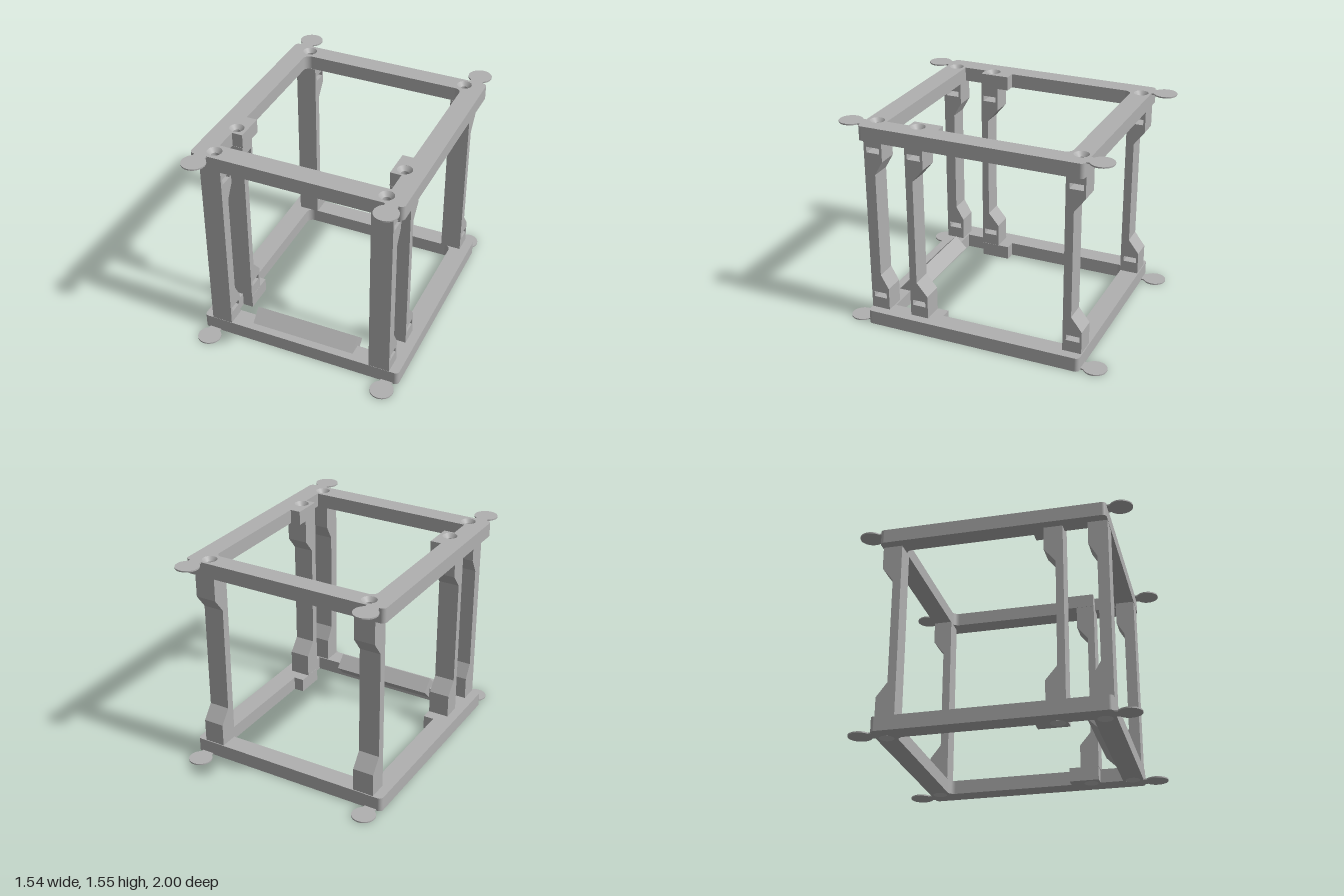
import * as THREE from 'three';

const H = 1.555, RAIL = 0.105, SINK = 0.03, HOLE_R = 0.027, SINK_R = 0.053;
const POST_X = 0.6225, POST_W = 0.155;
const SCREWS = [-0.75, 0.432, 0.745].flatMap(z => [[-0.62, z], [0.62, z]]);

export function createModel() {
  const group = new THREE.Group();
  const grey = new THREE.MeshStandardMaterial({ color: 0xb0b0b0, side: THREE.DoubleSide });
  grey.name = 'light grey';

  const add = (name, geometry, parent = group) => {
    const mesh = new THREE.Mesh(geometry, grey);
    mesh.name = name;
    parent.add(mesh);
    return mesh;
  };
  const extrude = (shape, depth) =>
    new THREE.ExtrudeGeometry(shape, { depth, bevelEnabled: false, curveSegments: 24 });
  const polygon = pts => new THREE.Shape(pts.map(p => new THREE.Vector2(...p)));
  // Profile in (z, y), extruded along x from x0 to x1
  const alongX = (shape, x0, x1) => extrude(shape, x1 - x0).rotateY(-Math.PI / 2).translate(x1, 0, 0);
  // Plan in (x, -z), extruded upwards from y
  const upwards = (shape, y, h) => extrude(shape, h).rotateX(-Math.PI / 2).translate(0, y, 0);

  // Rail plan: rounded outside, opening with two side tabs, screw holes
  function railPlan(holeRadius) {
    const X = 0.77, Z = 0.822, r = 0.03;
    const s = new THREE.Shape();
    s.moveTo(-X + r, -Z);
    s.lineTo(X - r, -Z).absarc(X - r, -Z + r, r, -Math.PI / 2, 0);
    s.lineTo(X, Z - r).absarc(X - r, Z - r, r, 0, Math.PI / 2);
    s.lineTo(-X + r, Z).absarc(-X + r, Z - r, r, Math.PI / 2, Math.PI);
    s.lineTo(-X, -Z + r).absarc(-X + r, -Z + r, r, Math.PI, Math.PI * 1.5);
    const i = 0.622, t = 0.543, b = 0.678, c = 0.05;
    const open = new THREE.Path();
    open.moveTo(-i, -0.67).lineTo(i, -0.67);
    open.lineTo(i, -0.5).lineTo(t, -0.5).lineTo(t, -0.28).lineTo(i, -0.28);
    open.lineTo(i, b - c).absarc(i - c, b - c, c, 0, Math.PI / 2);
    open.lineTo(-i + c, b).absarc(-i + c, b - c, c, Math.PI / 2, Math.PI);
    open.lineTo(-i, -0.28).lineTo(-t, -0.28).lineTo(-t, -0.5).lineTo(-i, -0.5).closePath();
    s.holes.push(open);
    for (const [x, z] of SCREWS) {
      s.holes.push(new THREE.Path().absarc(x, -z, holeRadius, 0, Math.PI * 2, true));
    }
    return s;
  }

  // Top and bottom frames with countersinks and corner discs
  for (const top of [false, true]) {
    const frame = new THREE.Group();
    frame.name = top ? 'topFrame' : 'bottomFrame';
    group.add(frame);
    const base = top ? H - RAIL : 0;
    add('rails', upwards(railPlan(HOLE_R), top ? base : SINK, RAIL - SINK), frame);
    add('railSkin', upwards(railPlan(SINK_R), top ? H - SINK : 0, SINK), frame);
    for (const [x, z] of SCREWS) {
      const cone = new THREE.CylinderGeometry(
        top ? SINK_R : HOLE_R, top ? HOLE_R : SINK_R, SINK, 40, 1, true);
      add('countersink', cone, frame).position.set(x, top ? H - SINK / 2 : SINK / 2, z);
    }
    for (const sx of [-1, 1]) for (const sz of [-1, 1]) {
      const y = top ? H - 0.005 : 0.005;
      add('cornerDisc', new THREE.CylinderGeometry(0.085, 0.085, 0.01, 48), frame)
        .position.set(sx * 0.685, y, sz * 0.915);
      add('discNeck', new THREE.BoxGeometry(0.09, 0.01, 0.06), frame)
        .position.set(sx * 0.685, y, sz * 0.83);
    }
  }

  // Posts: flat face, slim middle, thick ends with nut slots open to +x
  const POSTS = [
    { name: 'frontPost', flat: 0.82, slim: 0.74, thick: 0.68, nut: 0.75 },
    { name: 'middlePost', flat: 0.502, slim: 0.448, thick: 0.365, nut: 0.434 },
    { name: 'backPost', flat: -0.675, slim: -0.735, thick: -0.815, nut: -0.75 },
  ];
  const SLOT = 0.05, SLOT_H = 0.042, SLOT_Y = [0.213, 1.357];
  for (const { name, flat, slim, thick, nut } of POSTS) for (const side of [-1, 1]) {
    const post = new THREE.Group();
    post.name = (side > 0 ? 'left ' : 'right ') + name;
    post.position.x = side * POST_X;
    group.add(post);
    const knee = name === 'middlePost' ? 0.28 : 0.275;
    const profile = () => polygon([
      [flat, RAIL], [thick, RAIL], [thick, knee], [slim, 0.38],
      [slim, H - 0.38], [thick, H - knee], [thick, H - RAIL], [flat, H - RAIL]]);
    const slotted = profile();
    for (const y of SLOT_Y) {
      slotted.holes.push(polygon([
        [nut - SLOT, y - SLOT_H / 2], [nut + SLOT, y - SLOT_H / 2],
        [nut + SLOT, y + SLOT_H / 2], [nut - SLOT, y + SLOT_H / 2]]));
    }
    add('solidSide', alongX(profile(), -POST_W / 2, -0.058), post);
    add('slottedSide', alongX(slotted, -0.058, POST_W / 2), post);
    // Wedges giving each slot its pointed hexagonal end
    for (const y of SLOT_Y) for (const s of [-1, 1]) {
      const wedge = polygon([[-0.058, -nut], [-0.058, -nut + s * SLOT], [-0.029, -nut + s * SLOT]]);
      add('slotEnd', upwards(wedge, y - SLOT_H / 2, SLOT_H), post);
    }
  }

  // Ridge along the inner edge of the lower front rail
  add('frontRidge', alongX(
    polygon([[0.585, 0.107], [0.673, 0.019], [0.761, 0.105], [0.673, 0.195]]), -0.397, 0.397));

  return group;
}
